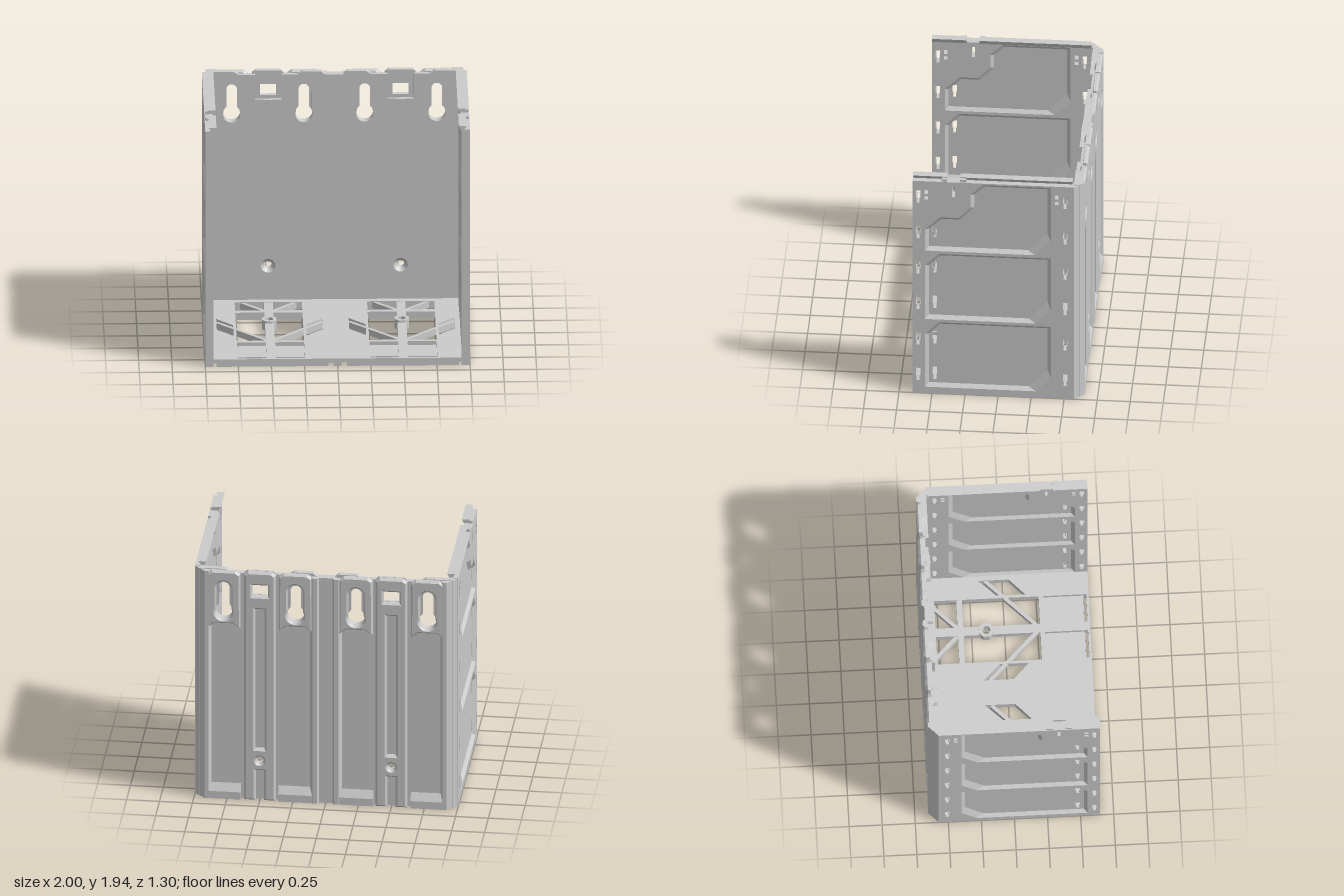
import * as THREE from 'three';

const grey = new THREE.MeshStandardMaterial({ color: 0xcccccc, flatShading: true });
const thin = new THREE.MeshStandardMaterial({ color: 0xcccccc, flatShading: true, side: THREE.DoubleSide });

const poly = (pts) => new THREE.Shape(pts.map(([x, y]) => new THREE.Vector2(x, y)));
const rect = (x0, x1, y0, y1) => poly([[x0, y0], [x1, y0], [x1, y1], [x0, y1]]);
const circle = (x, y, r) => new THREE.Shape().absarc(x, y, r, 0, Math.PI * 2, false);

// Extrude a shape with holes from depth a to depth b; bevel tapers the far edges
function slab(shape, holes, a, b, bevel = 0) {
  shape.holes = holes;
  return new THREE.ExtrudeGeometry(shape, {
    depth: b - a - 2 * bevel, bevelEnabled: bevel > 0, bevelSize: bevel,
    bevelThickness: bevel, bevelOffset: -bevel, bevelSegments: 1, curveSegments: 16,
  }).translate(0, 0, a + bevel);
}
const flat = (g) => g.rotateX(-Math.PI / 2);   // drawn in x,-z; depth becomes height
const upright = (g) => g.rotateY(Math.PI / 2); // drawn in -z,y; depth becomes x

// Mirror across x with the winding put right
function mirrored(geo) {
  const g = geo.index ? geo.toNonIndexed() : geo.clone();
  g.scale(-1, 1, 1);
  const p = g.attributes.position;
  const a = new THREE.Vector3(), b = new THREE.Vector3();
  for (let i = 0; i < p.count; i += 3) {
    a.fromBufferAttribute(p, i + 1);
    b.fromBufferAttribute(p, i + 2);
    p.setXYZ(i + 1, b.x, b.y, b.z);
    p.setXYZ(i + 2, a.x, a.y, a.z);
  }
  g.computeVertexNormals();
  return g;
}

// Offset a counter-clockwise outline inwards, with a width for each edge
function inset(pts, width) {
  const n = pts.length;
  const normal = (i) => {
    const [a, b] = [pts[i], pts[(i + 1) % n]];
    const dx = b[0] - a[0], dy = b[1] - a[1], l = Math.hypot(dx, dy);
    return [-dy / l, dx / l];
  };
  return pts.map((p, i) => {
    const j = (i + n - 1) % n, m = normal(j), k = normal(i), u = width(j), v = width(i);
    const d = m[0] * k[1] - m[1] * k[0];
    return [p[0] + (u * k[1] - v * m[1]) / d, p[1] + (v * m[0] - u * k[0]) / d];
  });
}

// Sloping frame between two outlines at two depths
function slope(outer, inner, za, zb) {
  const v = [];
  outer.forEach((p, i) => {
    const j = (i + 1) % outer.length;
    const a = [...p, za], b = [...outer[j], za], c = [...inner[j], zb], d = [...inner[i], zb];
    v.push(...a, ...b, ...c, ...a, ...c, ...d);
  });
  const g = new THREE.BufferGeometry();
  g.setAttribute('position', new THREE.Float32BufferAttribute(v, 3));
  g.computeVertexNormals();
  return g;
}

// Keyhole: round entry below a narrower slot
function keyhole(x, w, r, top) {
  const a = Math.acos(w / r);
  return new THREE.Shape().absarc(x, 1.565, r, Math.PI - a, 2 * Math.PI + a, false)
    .absarc(x, top - w, w, 0, Math.PI, false);
}

const tSlot = (u, y) => poly([[u - 0.011, y - 0.055], [u + 0.011, y - 0.055], [u + 0.011, y - 0.01],
  [u + 0.017, y - 0.01], [u + 0.017, y + 0.055], [u - 0.017, y + 0.055], [u - 0.017, y - 0.01], [u - 0.011, y - 0.01]]);

export function createModel() {
  const model = new THREE.Group();
  const add = (name, geo, mat = grey) => {
    const m = new THREE.Mesh(geo, mat);
    m.name = name;
    model.add(m);
  };
  const pair = (name, geo, mat = grey) => {
    add(name + 'Left', geo, mat);
    add(name + 'Right', mirrored(geo), mat);
  };
  const box = (x0, x1, y0, y1, z0, z1) => new THREE.BoxGeometry(x1 - x0, y1 - y0, z1 - z0)
    .translate((x0 + x1) / 2, (y0 + y1) / 2, (z0 + z1) / 2);

  // Side walls: three recessed panels and rows of slots
  const panel = (y0, y1) => [[-0.553, y0], [0.285, y0], [0.4, y0 + 0.125], [0.4, y1], [-0.45, y1], [-0.553, y1 - 0.108]];
  const panels = [panel(0.057, 0.643), panel(0.668, 1.26),
    [[-0.553, 1.285], [0.28, 1.285], [0.4, 1.41], [0.4, 1.897], [-0.115, 1.897], [-0.208, 1.805],
      [-0.208, 1.69], [-0.3, 1.59], [-0.44, 1.59], [-0.553, 1.48]]];
  const rows = [0.17, 0.49, 0.81, 1.13, 1.45, 1.77];
  const wallHoles = panels.map(poly);
  rows.forEach((y) => wallHoles.push(tSlot(-0.605, y), tSlot(0.507, y)));
  wallHoles.push(rect(-0.348, -0.326, 1.78, 1.87));
  for (const u of [-0.545, 0.445]) {
    wallHoles.push(rect(u - 0.014, u + 0.014, 1.795, 1.83), rect(u - 0.014, u + 0.014, 1.745, 1.775));
  }
  pair('sideWall', upright(slab(rect(-0.648, 0.575, 0, 1.91), wallHoles, 0.936, 1)));
  panels.forEach((p, i) => {
    const inner = inset(p, (e) => (e === 1 ? 0.06 : 0.028));
    const slots = [[0, 1], [2, 3], [4]][i].map((r) => tSlot(-0.48, rows[r]));
    pair('sidePanel', upright(slab(poly(inner), slots, 0.957, 0.975)));
    pair('panelOuterBevel', upright(slope(p, inner, 1, 0.975)), thin);
    pair('panelInnerBevel', upright(slope(p, inner, 0.936, 0.957)), thin);
  });

  // Dovetail rails and latch blocks on the top edges
  for (const [z0, z1] of [[0.388, 0.648], [-0.56, 0.29]]) {
    pair('topRail', slab(poly([[0.936, 1.9], [0.952, 1.9], [0.973, 1.94], [0.915, 1.94]]), [], z0, z1));
  }
  for (const [z0, z1] of [[0.24, 0.29], [0.388, 0.43]]) pair('latchBlock', box(0.95, 0.995, 1.9, 1.932, z0, z1));

  // Back wall front layers: keyholes, clip recesses, screw holes
  const xs = [-0.775, -0.23, 0.23, 0.775];
  const both = (f) => [f(0.5), f(-0.5)];
  const outline = (clip) => {
    const h = [[0.96, 0], [0.96, 1.91], [0.76, 1.91], [0.72, 1.885], ...clip,
      [0.28, 1.885], [0.24, 1.91], [0.1, 1.91], [0.07, 1.885]];
    return poly([...h, ...h.map(([x, y]) => [-x, y]).reverse()]);
  };
  add('backWallFront', slab(outline([[0.6, 1.885], [0.6, 1.685], [0.4, 1.685], [0.4, 1.885]]),
    [...xs.map((x) => keyhole(x, 0.06, 0.065, 1.81)), ...both((x) => circle(x, 0.335, 0.055))], -0.595, -0.57));
  const square = (x) => rect(x - 0.06, x + 0.06, 1.71, 1.8);
  add('backWallCore', slab(outline([[0.62, 1.885], [0.6, 1.91], [0.4, 1.91], [0.38, 1.885]]),
    [...xs.map((x) => keyhole(x, 0.04, 0.065, 1.8)), ...both(square), ...both((x) => circle(x, 0.335, 0.03))], -0.612, -0.595));
  const sink = new THREE.CylinderGeometry(0.055, 0.03, 0.025, 24, 1, true).rotateX(Math.PI / 2);
  pair('screwCountersink', sink.translate(0.5, 0.335, -0.5825), thin);
  pair('clipLip', box(0.465, 0.535, 1.67, 1.685, -0.58, -0.562));

  // Back corners and ridges
  pair('backCorner', flat(slab(poly([[1, 0.57], [0.92, 0.65], [0.89, 0.65], [0.865, 0.6], [0.865, 0.572]]), [], 0, 1.905)));
  add('centreRidge', flat(slab(poly([[-0.13, 0.6], [0.13, 0.6], [0.1, 0.65], [0.065, 0.65], [0.05, 0.63],
    [-0.05, 0.63], [-0.065, 0.65], [-0.1, 0.65]]), [], 0, 1.885)));
  const ridge = poly([[0.38, 0], [0.468, 0], [0.468, 0.25], [0.532, 0.25], [0.532, 0], [0.62, 0],
    [0.62, 1.885], [0.59, 1.91], [0.41, 1.91], [0.38, 1.885]]);
  pair('clipRidge', slab(ridge, [rect(0.465, 0.535, 0.43, 1.6), circle(0.5, 0.335, 0.03), square(0.5)], -0.65, -0.6, 0.015));

  // Keyhole pads, and sloping feet that close the channels below them
  for (const x of [0.23, 0.775]) {
    const pad = poly([[x - 0.125, 1.43], [x - 0.07, 1.47], [x + 0.07, 1.47], [x + 0.125, 1.43],
      [x + 0.125, 1.88], [x + 0.09, 1.905], [x - 0.09, 1.905], [x - 0.125, 1.88]]);
    pair('keyholePad', slab(pad, [keyhole(x, 0.058, 0.065, 1.82)], -0.65, -0.6, 0.012));
    pair('channelFoot', upright(slab(poly([[0.6, 0], [0.648, 0], [0.648, 0.06], [0.612, 0.12], [0.6, 0.12]]), [], x - 0.13, x + 0.13)));
  }

  // Floor: windows, angled slots and shallow pockets
  const angled = (s) => poly([[0.4, 0.18], [0.275, 0.05], [0.275, -0.17], [0.4, -0.05]].map(([d, y]) => [0.5 + s * d, y]));
  const floorHoles = () => [rect(0.246, 0.754, -0.27, 0.52), angled(1), angled(-1),
    rect(0.246, 0.465, -0.63, -0.607), rect(0.535, 0.754, -0.63, -0.607)];
  pair('floorTop', flat(slab(rect(0, 0.94, -0.648, 0.58),
    [...floorHoles(), rect(0.246, 0.465, -0.604, -0.305), rect(0.535, 0.754, -0.604, -0.305)], 0.03, 0.06)));
  pair('floorBase', flat(slab(rect(0.07, 0.915, -0.648, 0.58), floorHoles(), 0, 0.03)));
  pair('floorCentreStrip', box(0, 0.03, 0, 0.03, -0.58, 0.648));

  // Floor ribs across each window, with a nut boss
  pair('floorCrossRib', box(0.24, 0.76, 0, 0.058, -0.353, -0.31));
  for (const [z0, z1] of [[-0.53, -0.18], [-0.1, 0.28]]) pair('floorLongRib', box(0.466, 0.534, 0, 0.058, z0, z1));
  const bar = (x0, z0, x1, z1) => new THREE.BoxGeometry(Math.hypot(x1 - x0, z1 - z0), 0.05, 0.028)
    .rotateY(-Math.atan2(z1 - z0, x1 - x0)).translate((x0 + x1) / 2, 0.029, (z0 + z1) / 2);
  for (const s of [-1, 1]) {
    pair('floorDiagonal', bar(0.5 + s * 0.02, 0.25, 0.5 + s * 0.4, -0.13));
    pair('floorShortDiagonal', bar(0.5 + s * 0.02, -0.345, 0.5 + s * 0.215, -0.54));
  }
  const boss = new THREE.Shape();
  for (let i = 0; i < 8; i++) {
    const a = (i + 0.5) * Math.PI / 4;
    boss[i ? 'lineTo' : 'moveTo'](0.5 + 0.06 * Math.cos(a), 0.139 + 0.06 * Math.sin(a));
  }
  const hex = poly([0, 1, 2, 3, 4, 5].map((i) => [0.5 + 0.033 * Math.sin(i * Math.PI / 3), 0.139 + 0.033 * Math.cos(i * Math.PI / 3)]));
  pair('nutBoss', flat(slab(boss, [hex], 0, 0.075)));

  return model;
}
